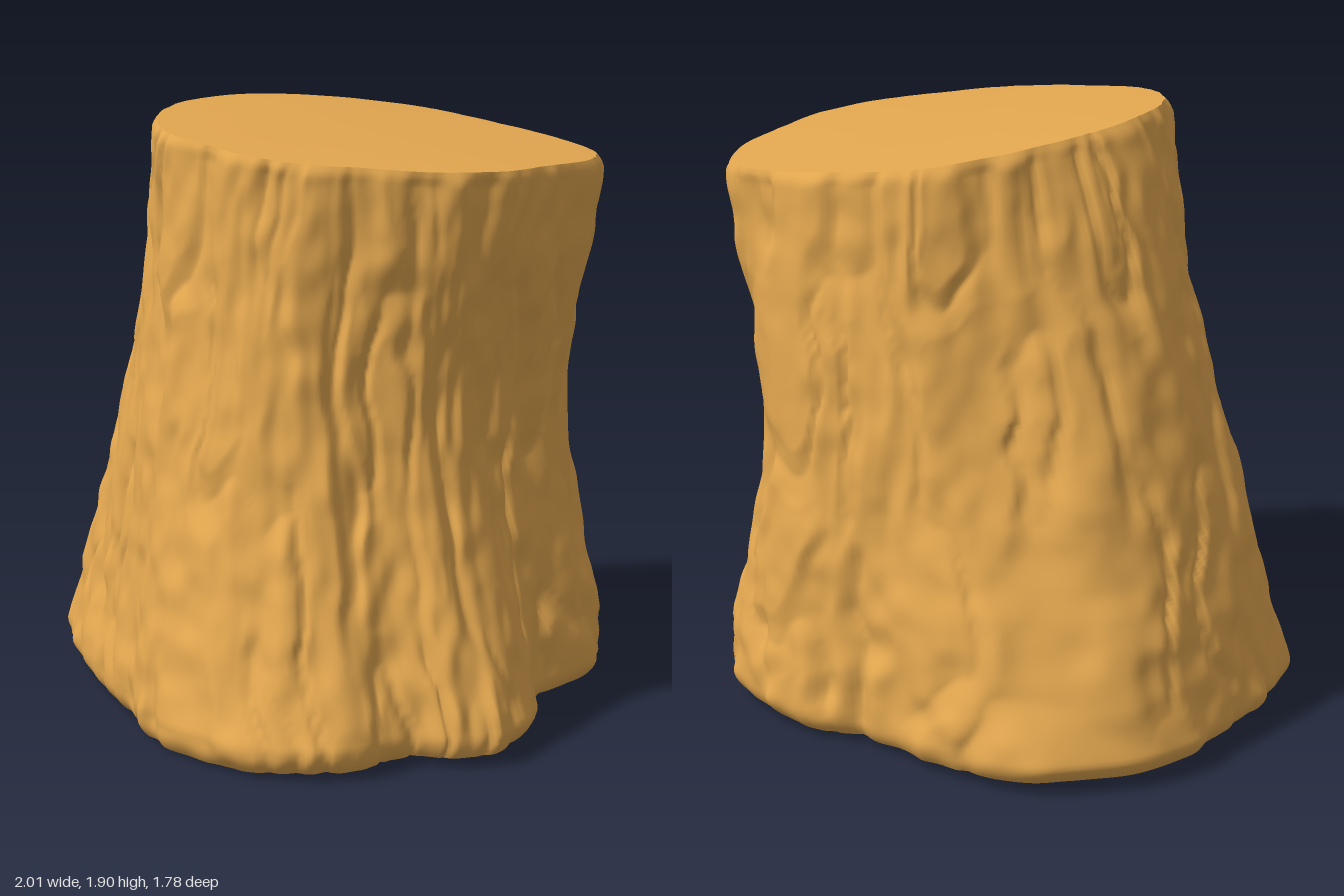
import * as THREE from 'three';

// Root outline: [x, z, how quickly the flare falls away with height]
const BASE = [[0.91, -0.03, 2.5], [0.99, 0.17, 2.5], [0.96, 0.33, 2.3], [0.82, 0.41, 2.2],
  [0.79, 0.62, 2.1], [0.65, 0.79, 2], [0.43, 0.88, 1.9], [0.15, 0.88, 1.8],
  [-0.05, 0.79, 1.65], [-0.24, 0.72, 1.55], [-0.45, 0.63, 1.4], [-0.68, 0.52, 1.2],
  [-0.87, 0.38, 1], [-0.97, 0.12, 0.9], [-1, -0.22, 0.9], [-0.97, -0.54, 1.1],
  [-0.69, -0.83, 1.4], [-0.41, -0.87, 1.2], [-0.1, -0.84, 1.05], [0.14, -0.89, 1],
  [0.36, -0.85, 1.2], [0.56, -0.73, 2], [0.69, -0.55, 2.5], [0.74, -0.22, 2.5]];
// Matching top outline: [x, z, depth of the waist below it]
const TOP = [[0.78, -0.02, 0.13], [0.74, 0.15, 0.11], [0.69, 0.26, 0.08], [0.57, 0.39, 0.05],
  [0.48, 0.49, 0.03], [0.37, 0.57, 0.02], [0.24, 0.61, 0], [0.08, 0.62, 0],
  [-0.09, 0.61, 0], [-0.22, 0.54, 0], [-0.34, 0.42, 0], [-0.42, 0.29, 0],
  [-0.46, 0.15, 0], [-0.48, 0, 0], [-0.47, -0.17, 0], [-0.41, -0.36, 0.01],
  [-0.31, -0.53, 0.04], [-0.19, -0.65, 0.02], [-0.03, -0.71, 0], [0.17, -0.74, 0],
  [0.4, -0.74, 0.04], [0.58, -0.66, 0.11], [0.7, -0.48, 0.13], [0.75, -0.24, 0.12]];
const SEGMENTS = 340, ROWS = 140;

// Closed curve through an outline; y carries the third column
const outline = pts => new THREE.CatmullRomCurve3(
  pts.map(([x, z, extra]) => new THREE.Vector3(x, extra, z)), true);
const topY = (x, z) => 1.85 - 0.1 * x + 0.035 * z - 0.045 * z * z;
const bottomY = (x, z) => 0.012 + 0.028 * Math.abs(x) - 0.012 * z;

// Smooth lattice noise in [-1, 1], wrapping around the trunk after `period` cells
function noise(a, b, period, seed) {
  const hash = (i, j) => {
    const s = Math.sin((((i % period) + period) % period) * 127.1 + j * 311.7 + seed * 74.7) * 43758.5453;
    return (s - Math.floor(s)) * 2 - 1;
  };
  const i = Math.floor(a), j = Math.floor(b);
  const u = THREE.MathUtils.smoothstep(a - i, 0, 1), v = THREE.MathUtils.smoothstep(b - j, 0, 1);
  const { lerp } = THREE.MathUtils;
  return lerp(lerp(hash(i, j), hash(i + 1, j), u), lerp(hash(i, j + 1), hash(i + 1, j + 1), u), v);
}

// Bark relief: wandering plates split by narrow cracks, with knobs near the roots
function bark(t, y) {
  const w = t + 0.012 * noise(t * 14, y * 2.6, 14, 1) + 0.004 * noise(t * 50, y * 9, 50, 5);
  const plates = 0.009 * noise(w * 44, y * 2.4, 44, 2) + 0.01 * noise(w * 96, y * 5, 96, 3);
  const crack = Math.max(0, 1 - 3 * Math.abs(noise(w * 46, y * 1.8, 46, 6)));
  const knobs = noise(t * 70, y * 12, 70, 4) * (0.006 + 0.008 * Math.max(0, 1 - y / 0.8));
  return plates + knobs - 0.022 * crack;
}

// All rings of the trunk, from the ground up
function trunkRings() {
  const base = outline(BASE), top = outline(TOP);
  const rings = Array.from({ length: ROWS + 1 }, () => []);
  for (let s = 0; s < SEGMENTS; s++) {
    const t = s / SEGMENTS, p = base.getPoint(t), q = top.getPoint(t);
    const y0 = bottomY(p.x, p.z), y1 = topY(q.x, q.z);
    for (let r = 0; r <= ROWS; r++) {
      const y = THREE.MathUtils.lerp(y0, y1, r / ROWS);
      const u = 1 - Math.max(0, y - 0.1) / (y1 - 0.1);
      const pos = q.clone().lerp(p, Math.pow(u, p.y));
      const waist = q.y * Math.sin(Math.PI * r / ROWS) ** 2;
      // rounded lower and upper rims
      const low = Math.max(0, 1 - (y - y0) / 0.06), high = Math.max(0, 1 - (y1 - y) / 0.04);
      const rim = 0.03 * low * low + 0.016 * high * high;
      const relief = bark(t, y) * (1 - 0.8 * high) * (1 - 0.4 * low);
      const out = new THREE.Vector3(pos.x - 0.15 * (1 - u), 0, pos.z + 0.06 * (1 - u)).normalize();
      pos.addScaledVector(out, relief - waist - rim);
      pos.y = y;
      rings[r].push(pos);
    }
  }
  return rings;
}

function buildMesh(name, points, index) {
  const geometry = new THREE.BufferGeometry().setFromPoints(points);
  geometry.setIndex(index);
  geometry.computeVertexNormals();
  const mesh = new THREE.Mesh(geometry, new THREE.MeshStandardMaterial({ color: 0xe4a850 }));
  mesh.name = name;
  return mesh;
}

// End face: a fan from the middle of a ring, at the height given there
function buildCap(name, ring, height, up) {
  const centre = new THREE.Vector3();
  ring.forEach(p => centre.addScaledVector(p, 1 / ring.length));
  centre.y = height(centre.x, centre.z);
  const index = [], n = ring.length;
  for (let s = 0; s < n; s++) {
    const next = (s + 1) % n;
    index.push(n, ...(up ? [next, s] : [s, next]));
  }
  return buildMesh(name, [...ring, centre], index);
}

export function createModel() {
  const stump = new THREE.Group();
  stump.name = 'treeStump';
  const rings = trunkRings(), index = [];

  for (let r = 0; r < ROWS; r++) {
    for (let s = 0; s < SEGMENTS; s++) {
      const next = (s + 1) % SEGMENTS;
      const a = r * SEGMENTS + s, b = r * SEGMENTS + next;
      index.push(a, a + SEGMENTS, b, b, a + SEGMENTS, b + SEGMENTS);
    }
  }
  stump.add(buildMesh('barkTrunk', rings.flat(), index));
  stump.add(buildCap('sawnTop', rings[ROWS], topY, true));
  stump.add(buildCap('underside', rings[0], bottomY, false));
  return stump;
}
